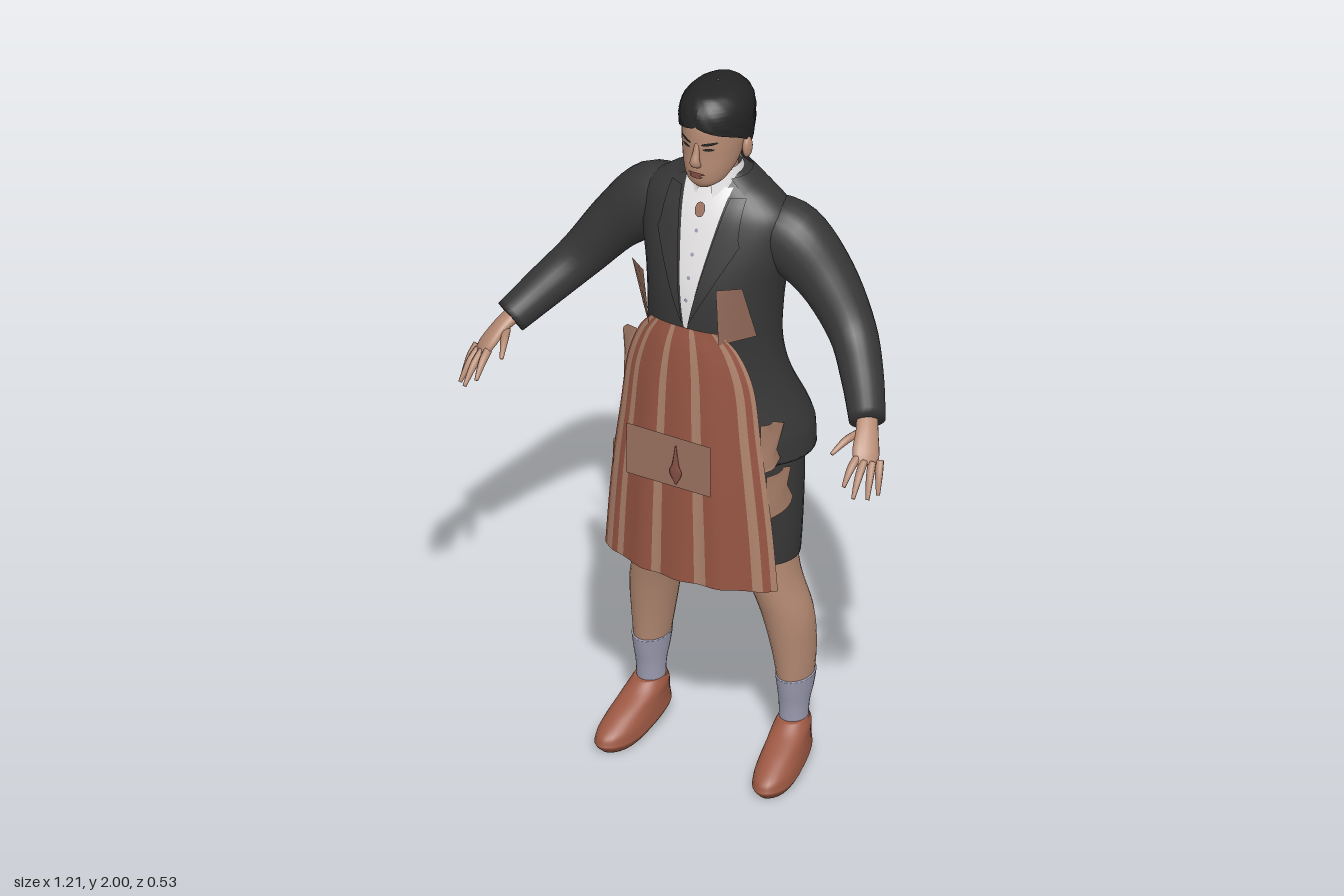
import * as THREE from 'three';

const mat = (name, color) => {
  const m = new THREE.MeshStandardMaterial({ color, side: THREE.DoubleSide });
  m.name = name;
  return m;
};

// Catmull-Rom smoothing of rows of numbers
function dense(p, n = 6) {
  const out = [];
  for (let i = 0; i < p.length - 1; i++) {
    const [a, b, c, d] = [-1, 0, 1, 2].map(o => p[Math.min(Math.max(i + o, 0), p.length - 1)]);
    for (let k = 0; k < n; k++) {
      const t = k / n;
      out.push(b.map((_, j) => 0.5 * (2 * b[j] + (c[j] - a[j]) * t +
        (2 * a[j] - 5 * b[j] + 4 * c[j] - d[j]) * t * t + (3 * b[j] - a[j] - 3 * c[j] + d[j]) * t ** 3)));
    }
  }
  out.push(p[p.length - 1]);
  return out;
}

// Skin a list of rings (counter-clockwise about the travel direction)
function loft(rings, closed = true, caps = true) {
  const n = rings[0].length, pos = rings.flat(2), idx = [];
  for (let i = 0; i < rings.length - 1; i++) {
    for (let j = 0; j < (closed ? n : n - 1); j++) {
      const k = (j + 1) % n, a = i * n + j, b = i * n + k, c = b + n, d = a + n;
      idx.push(a, b, c, a, c, d);
    }
  }
  if (caps) {
    [0, rings.length - 1].forEach((r, end) => {
      const centre = pos.length / 3;
      pos.push(...[0, 1, 2].map(c => rings[r].reduce((s, p) => s + p[c], 0) / n));
      for (let j = 0; j < n; j++) {
        const a = r * n + j, b = r * n + (j + 1) % n;
        idx.push(centre, ...(end ? [a, b] : [b, a]));
      }
    });
  }
  const g = new THREE.BufferGeometry();
  g.setAttribute('position', new THREE.Float32BufferAttribute(pos, 3));
  g.setIndex(idx);
  g.computeVertexNormals();
  return g;
}

// Body rows: [y, halfWidth, zBack, zFront, centreX, openingAngle], bottom to top
const rowsOf = rows => dense(rows.map(([y, w, b, f, cx = 0, gap = 0]) => [y, w, b, f, cx, gap]));
function body(rows, { caps = true, start = 0, n = 40, s = 1, bump = () => 1 } = {}) {
  const open = rows.some(r => r[5] > 0), count = open ? n + 1 : n;
  return loft(rows.map(([y, w, b, f, cx, gap], i) => Array.from({ length: count }, (_, j) => {
    const g = Math.max(gap, 0), a = start + g + (2 * Math.PI - 2 * g) * j / n, k = bump(a, i);
    return [cx * s + w * Math.sin(a) * k, y, (b + f) / 2 + (f - b) / 2 * Math.cos(a) * k];
  })), !open, caps && !open);
}

// Round or flattened tube along points [x, y, z, sideRadius, depthRadius]
function tube(points, hint = [1, 0, 0], n = 12, s = 1) {
  const p = dense(points.map(([x, y, z, r, q = r]) => [x * s, y, z, r, q]), 5);
  const V = a => new THREE.Vector3(a[0], a[1], a[2]);
  const h = new THREE.Vector3(hint[0] * s, hint[1], hint[2]);
  return loft(p.map((c, i) => {
    const t = V(p[Math.min(i + 1, p.length - 1)]).sub(V(p[Math.max(i - 1, 0)])).normalize();
    const side = h.clone().addScaledVector(t, -h.dot(t)).normalize(), up = t.clone().cross(side);
    return Array.from({ length: n }, (_, j) => {
      const a = 2 * Math.PI * j / n;
      return V(c).addScaledVector(side, c[3] * Math.cos(a)).addScaledVector(up, c[4] * Math.sin(a)).toArray();
    });
  }));
}

// Thin sheet from f(u, v) => [x, y, z]
const sheet = (f, nu = 8, nv = 8) => loft(Array.from({ length: nv + 1 }, (_, i) =>
  Array.from({ length: nu + 1 }, (_, j) => f(j / nu, i / nv))), false, false);

// Sheet laid on the front (or back) of a body
function patch(rows, off, f, nu = 8, nv = 8, dir = 1) {
  return sheet((u, v) => {
    const [x, y] = f(u, v);
    const i = Math.max(1, rows.findIndex(r => r[0] >= y)), a = rows[i - 1], b = rows[i];
    const t = (y - a[0]) / (b[0] - a[0]), [w, zb, zf] = [1, 2, 3].map(k => a[k] + (b[k] - a[k]) * t);
    return [x, y, (zb + zf) / 2 + dir * ((zf - zb) / 2 * Math.sqrt(Math.max(0, 1 - (x / w) ** 2)) + off)];
  }, nu, nv);
}
const oval = (cx, cy, rx, ry, tilt = 0) => (u, v) => {
  const k = 2 * u - 1;
  return [cx + rx * k, cy + tilt * k + ry * (2 * v - 1) * Math.sqrt(1 - k * k)];
};

export function createModel() {
  const model = new THREE.Group();
  const skin = mat('skin', 0xb58a73), cloth = mat('charcoal cloth', 0x373737), black = mat('black hair', 0x242424);
  const white = mat('white shirt', 0xe4e2e2), red = mat('apron red brown', 0x965543), tan = mat('stripe tan', 0xae836d);
  const dusty = mat('pocket brown', 0x9a705f), sockMat = mat('grey lilac sock', 0x9c9bb0);
  const leather = mat('shoe leather', 0x9c5843), lip = mat('lip brown', 0x855044);
  const add = (name, g, m) => {
    const mesh = new THREE.Mesh(g, m);
    mesh.name = name;
    model.add(mesh);
    return mesh;
  };

  // Jacket and skirt
  const torso = rowsOf([[0.94, 0.255, -0.26, 0.095], [1.0, 0.25, -0.265, 0.1], [1.05, 0.235, -0.25, 0.1],
    [1.15, 0.2, -0.205, 0.1], [1.25, 0.18, -0.19, 0.108], [1.35, 0.178, -0.203, 0.115], [1.45, 0.188, -0.208, 0.105],
    [1.55, 0.21, -0.2, 0.075], [1.64, 0.205, -0.18, 0.04], [1.69, 0.155, -0.165, 0.015], [1.72, 0.105, -0.15, 0],
    [1.745, 0.07, -0.13, -0.01]]);
  add('jacketBody', body(torso), cloth);
  add('jacketCollar', body(rowsOf([[1.665, 0.17, -0.182, 0.035, 0, 0.95], [1.705, 0.125, -0.166, 0.015, 0, 0.85],
    [1.74, 0.083, -0.148, 0, 0, 0.75]])), cloth);
  add('jacketVent', patch(torso, 0.002, (u, v) => [0.006 * (u - 0.5), 0.942 + 0.2 * v], 1, 10, -1), black);
  add('skirt', body(rowsOf([[0.63, 0.228, -0.195, 0.08, 0, 0.05], [0.7, 0.232, -0.2, 0.083, 0, 0.035],
    [0.78, 0.234, -0.208, 0.087, 0, 0.01], [0.8, 0.234, -0.21, 0.088, 0, 0], [0.88, 0.234, -0.218, 0.09, 0, 0],
    [0.97, 0.23, -0.22, 0.09, 0, 0]]), { start: Math.PI }), cloth);

  // Shirt, lapels and buttons
  const vee = v => 0.006 + 0.062 * v;
  add('shirtFront', patch(torso, 0.005, (u, v) => [(2 * u - 1) * vee(v), 1.35 + 0.37 * v], 10, 16), white);
  add('shirtCollar', body(rowsOf([[1.69, 0.082, -0.145, 0.022, 0, 0.3], [1.73, 0.07, -0.132, 0.012, 0, 0.2],
    [1.765, 0.06, -0.12, 0.003, 0, 0.12]])), white);
  for (let i = 0; i < 4; i++) add('shirtButton', patch(torso, 0.008, oval(0, 1.43 + 0.06 * i, 0.005, 0.005)), sockMat);
  add('brooch', patch(torso, 0.012, oval(0, 1.663, 0.015, 0.018)), dusty);

  // Head, neck and hair
  add('neck', tube([[0, 1.66, -0.075, 0.056], [0, 1.73, -0.06, 0.052], [0, 1.82, -0.05, 0.056]], [1, 0, 0], 20), skin);
  const skull = rowsOf([[1.733, 0.026, -0.02, 0.043], [1.752, 0.05, -0.05, 0.056], [1.785, 0.067, -0.1, 0.061],
    [1.83, 0.077, -0.13, 0.06], [1.87, 0.082, -0.15, 0.06], [1.92, 0.082, -0.155, 0.054], [1.96, 0.066, -0.13, 0.03],
    [1.985, 0.03, -0.1, -0.01]]);
  add('head', body(skull), skin);
  const curls = (a, i) => 1 + 0.014 * Math.sin(9 * a + i * 1.9) * Math.sin(5 * a - i * 1.3);
  add('hair', body(rowsOf([[1.76, 0.056, -0.115, 0, 0, 2.4], [1.8, 0.076, -0.15, 0.03, 0, 2.1],
    [1.84, 0.086, -0.168, 0.055, 0, 1.65], [1.88, 0.091, -0.172, 0.066, 0, 1.15], [1.905, 0.092, -0.172, 0.066, 0, 0.55],
    [1.925, 0.092, -0.171, 0.066, 0, 0], [1.955, 0.085, -0.162, 0.058, 0, 0], [1.98, 0.066, -0.14, 0.038, 0, 0],
    [1.993, 0.042, -0.115, 0.012, 0, 0], [2.0, 0.002, -0.06, -0.056, 0, 0]]), { n: 64, bump: curls }), black);
  add('nose', tube([[0, 1.872, 0.053, 0.007], [0, 1.845, 0.062, 0.009], [0, 1.82, 0.068, 0.014, 0.012],
    [0, 1.808, 0.06, 0.014, 0.008]]), skin);
  add('upperLip', patch(skull, 0.004, oval(0, 1.784, 0.025, 0.005)), lip);
  add('lowerLip', patch(skull, 0.005, oval(0, 1.776, 0.02, 0.005)), lip);

  // Apron surface, cut into vertical stripes
  const apronRows = dense([[0.61, 0.25, 0.16, 0.085], [0.76, 0.238, 0.16, 0.087], [0.9, 0.223, 0.16, 0.09],
    [1.05, 0.203, 0.157, 0.09], [1.2, 0.183, 0.152, 0.09], [1.3, 0.145, 0.145, 0.1], [1.36, 0.1, 0.134, 0.12]]);
  const apron = (u, v) => {
    const [y, w, zc, zs] = apronRows[Math.round(v * (apronRows.length - 1))];
    return [u * w, y, zc - (zc - zs) * Math.abs(u) ** 2.5 + 0.004 * Math.cos(u * 14) * (1 - v)];
  };
  const cuts = [-1, -0.96, -0.87, -0.79, -0.71, -0.32, -0.21, 0.18, 0.31, 0.78, 0.88, 0.95, 1];
  cuts.slice(1).forEach((b, i) => {
    const a = cuts[i];
    add(i % 2 ? 'apronStripe' : 'apronPanel',
      sheet((u, v) => apron(a + (b - a) * u, v), 6, apronRows.length - 1), i % 2 ? tan : red);
  });
  add('apronPocket', sheet((u, v) => [-0.145 + 0.245 * u, 0.895 + 0.15 * v, 0.166 + 0.004 * u], 1, 1), dusty);
  add('pocketToggle', tube([[0, 0.905, 0.171, 0.002], [0, 0.94, 0.172, 0.018, 0.004], [0, 0.965, 0.172, 0.01, 0.003],
    [0, 1.02, 0.171, 0.002]], [1, 0, 0], 8), lip);

  // Folded side tabs: [y, z at the loose edge] from bottom to top
  const tab = (s, x, edge) => add('apronTab', sheet((u, v) => {
    const [y, z] = edge[Math.round(v * (edge.length - 1))];
    return [s * (x + 0.018 * Math.sin(u * 2.2)), y, 0.095 + (z - 0.095) * u];
  }, 4, edge.length - 1), tan);
  tab(1, 0.222, [[0.82, -0.01], [0.835, -0.02], [0.885, 0.01], [0.93, -0.01], [0.95, 0.03]]);
  tab(1, 0.205, [[0.955, 0.04], [0.965, 0.015], [1.0, 0.035], [1.06, -0.005], [1.1, 0.06]]);
  tab(-1, 0.222, [[0.71, 0], [0.76, -0.02], [0.81, 0.01], [0.87, -0.01], [0.91, 0.03]]);
  tab(-1, 0.19, [[1.07, 0.02], [1.11, 0], [1.16, 0.03], [1.22, 0], [1.26, 0.05]]);

  for (const s of [1, -1]) {
    // Lapel, apron strap
    add('lapel', patch(torso, 0.009, (u, v) => {
      const wide = v < 0.72 ? 0.075 * v / 0.72 : 0.06 - 0.08 * (v - 0.72);
      return [s * (vee(v) + 0.002 + wide * u), 1.36 + 0.34 * v];
    }, 4, 18), cloth);
    const top = [[0.105, 1.51, 0.15], [0.16, 1.51, 0.11]], low = [[0.1, 1.33, 0.127], [0.165, 1.33, 0.04]];
    add('apronStrap', sheet((u, v) => [0, 1, 2].map(c => (c ? 1 : s) *
      ((1 - v) * (low[0][c] + (low[1][c] - low[0][c]) * u) + v * (top[0][c] + (top[1][c] - top[0][c]) * u))), 2, 2), dusty);

    // Face pairs
    add('eye', patch(skull, 0.003, oval(s * 0.032, 1.859, 0.014, 0.004)), black);
    add('eyebrow', patch(skull, 0.004, oval(s * 0.034, 1.876, 0.02, 0.004, s * 0.003)), black);
    const ear = add('ear', new THREE.SphereGeometry(1, 16, 12), skin);
    ear.scale.set(0.012, 0.03, 0.018);
    ear.position.set(s * 0.086, 1.826, -0.055);

    // Sleeve and hand
    add('sleeve', tube([[0.12, 1.585, -0.085, 0.085], [0.2, 1.565, -0.088, 0.1, 0.088], [0.3, 1.475, -0.085, 0.078],
      [0.39, 1.36, -0.055, 0.063], [0.46, 1.28, 0.02, 0.055], [0.517, 1.215, 0.1, 0.047]], [1, 1, 0], 24, s), cloth);
    add('palm', tube([[0.508, 1.225, 0.085, 0.028, 0.022], [0.53, 1.2, 0.125, 0.03, 0.017],
      [0.548, 1.165, 0.165, 0.036, 0.015], [0.56, 1.14, 0.183, 0.03, 0.01]], [0.045, -0.01, -0.04], 14, s), skin);
    [[[0.583, 1.145, 0.155], [0.602, 1.07, 0.2]], [[0.57, 1.145, 0.173], [0.59, 1.072, 0.235]],
      [[0.553, 1.15, 0.185], [0.563, 1.082, 0.262]], [[0.535, 1.158, 0.188], [0.532, 1.105, 0.256]],
      [[0.512, 1.195, 0.13], [0.478, 1.168, 0.22]]].forEach(([a, b], i) => {
      const mid = a.map((c, k) => (c + b[k]) / 2 + (k === 1 ? 0.008 : 0));
      add(i < 4 ? 'finger' : 'thumb', tube([[...a, 0.011], [...mid, 0.01], [...b, 0.005]], [1, 0.3, 0], 8, s), skin);
    });

    // Leg, sock and shoe
    add('leg', body(rowsOf([[0.24, 0.043, -0.148, -0.03, 0.208], [0.34, 0.055, -0.157, -0.018, 0.203],
      [0.45, 0.065, -0.152, 0, 0.19], [0.6, 0.066, -0.14, 0.03, 0.155], [0.85, 0.085, -0.16, 0.05, 0.125]]),
    { n: 24, s }), skin);
    add('sock', body(rowsOf([[0.09, 0.036, -0.12, -0.04, 0.206], [0.17, 0.038, -0.126, -0.037, 0.207],
      [0.22, 0.044, -0.145, -0.029, 0.208], [0.262, 0.049, -0.154, -0.023, 0.208]]), { n: 24, s }), sockMat);
    const shoe = body(rowsOf([[0, 0.047, -0.145, 0.125], [0.018, 0.055, -0.152, 0.142], [0.028, 0.055, -0.152, 0.142],
      [0.05, 0.053, -0.148, 0.128], [0.08, 0.049, -0.145, 0.075], [0.11, 0.046, -0.138, 0.005],
      [0.135, 0.039, -0.128, -0.03]]), { n: 32 });
    // Lift the heel and fill out the toe
    const p = shoe.attributes.position;
    for (let i = 0; i < p.count; i++) {
      const y = p.getY(i), z = p.getZ(i);
      p.setY(i, y + 0.028 * (1 - y / 0.135) * THREE.MathUtils.smoothstep(-z, -0.1, 0.1));
      p.setX(i, p.getX(i) * (1 + 1.2 * Math.max(0, z)));
    }
    shoe.computeVertexNormals();
    const mesh = add('shoe', shoe, leather);
    mesh.rotation.y = s * 0.12;
    mesh.position.x = s * 0.217;
  }
  return model;
}
